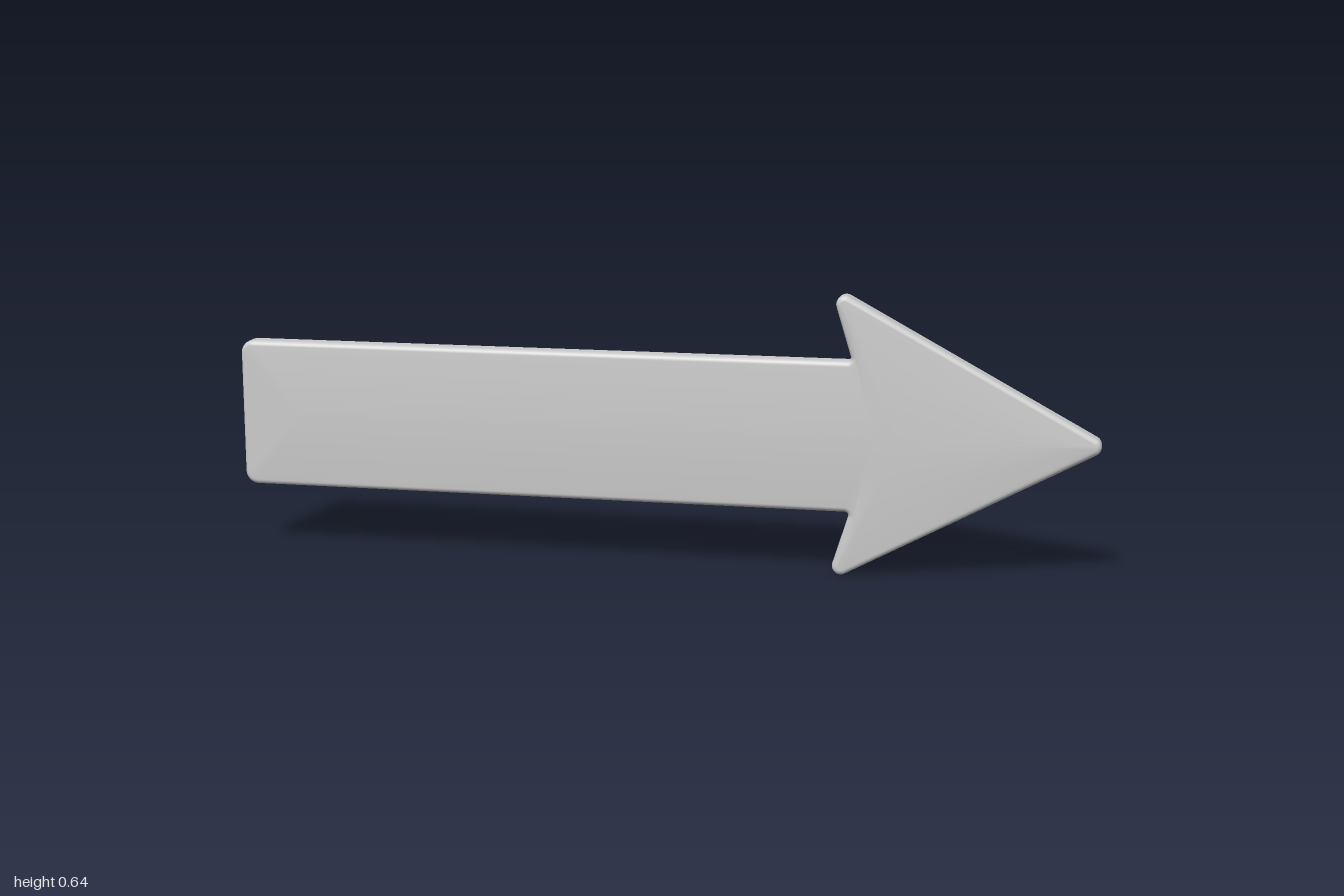
import * as THREE from 'three';

const MID_Y = 0.3205;   // height of the arrow's centre line
const HALF = 0.027;     // half thickness at the rim
const BEVEL = 0.012;    // rounding of the rim
const CROWN = 0.005;    // gentle swelling of both faces towards the centre line

// Lower corners from tail to point: x, y from centre line, radius (negative = inner corner), x on the spine
const lower = [
  [-1, -0.173, 0.03, -0.85],
  [0.445, -0.173, -0.008, 0.5],
  [0.393, -0.342, 0.02, 0.55],
];
const point = [1.021, 0, 0.02, 0.9];
const upper = lower.map(([x, y, r, s]) => [x, -y, r, s]).reverse();

// Rounded outline, counter-clockwise: each entry has an arc centre, outward normal, radius and spine x
function roundedOutline(corners, steps) {
  const n = corners.length;
  const out = [];
  corners.forEach(([x, y, r, spine], i) => {
    const p = new THREE.Vector2(x, y);
    const [px, py] = corners[(i + n - 1) % n];
    const [nx, ny] = corners[(i + 1) % n];
    const d0 = new THREE.Vector2(x - px, y - py).normalize();
    const d1 = new THREE.Vector2(nx - x, ny - y).normalize();
    const n0 = new THREE.Vector2(d0.y, -d0.x);
    const n1 = new THREE.Vector2(d1.y, -d1.x);
    const turn = Math.atan2(d0.cross(d1), d0.dot(d1));
    const centre = p.addScaledVector(n0.clone().add(n1), -r / (1 + n0.dot(n1)));
    const start = Math.atan2(n0.y, n0.x);
    for (let k = 0; k <= steps; k++) {
      const a = start + (turn * k) / steps;
      out.push({ centre, normal: new THREE.Vector2(Math.cos(a), Math.sin(a)), r, spine });
    }
  });
  return out;
}

function arrowGeometry() {
  const outline = roundedOutline([...lower, point, ...upper], 8);

  // Half profile from the rim inwards: inset, z and blend towards the spine
  const half = [];
  for (let k = 0; k <= 5; k++) {
    const a = (k / 5) * Math.PI / 2;
    half.push([BEVEL * (1 - Math.cos(a)), HALF - BEVEL + BEVEL * Math.sin(a), 0]);
  }
  for (let k = 1; k <= 8; k++) {
    const t = k / 8;
    half.push([BEVEL, HALF + CROWN * Math.sin(t * Math.PI / 2), t]);
  }
  const profile = [...half.map(([d, z, t]) => [d, -z, t]).reverse(), ...half];

  // Loops run from the back spine, around the rim, to the front spine
  const positions = [];
  const index = [];
  const n = outline.length;
  profile.forEach(([inset, z, t], i) => {
    outline.forEach(({ centre, normal, r, spine }, j) => {
      const x = centre.x + normal.x * (r - inset);
      const y = centre.y + normal.y * (r - inset);
      positions.push(THREE.MathUtils.lerp(x, spine, t), MID_Y + y * (1 - t), z);
      if (i === 0) return;
      const k = (j + 1) % n;
      const a = (i - 1) * n + j, b = (i - 1) * n + k, c = i * n + k, d = i * n + j;
      index.push(a, b, c, a, c, d);
    });
  });

  const geometry = new THREE.BufferGeometry();
  geometry.setAttribute('position', new THREE.Float32BufferAttribute(positions, 3));
  geometry.setIndex(index);
  geometry.computeVertexNormals();
  return geometry;
}

export function createModel() {
  const group = new THREE.Group();
  group.name = 'arrowSign';
  const arrow = new THREE.Mesh(arrowGeometry(), new THREE.MeshStandardMaterial({ color: 0xcccccc }));
  arrow.name = 'arrowPlate';
  group.add(arrow);
  return group;
}
